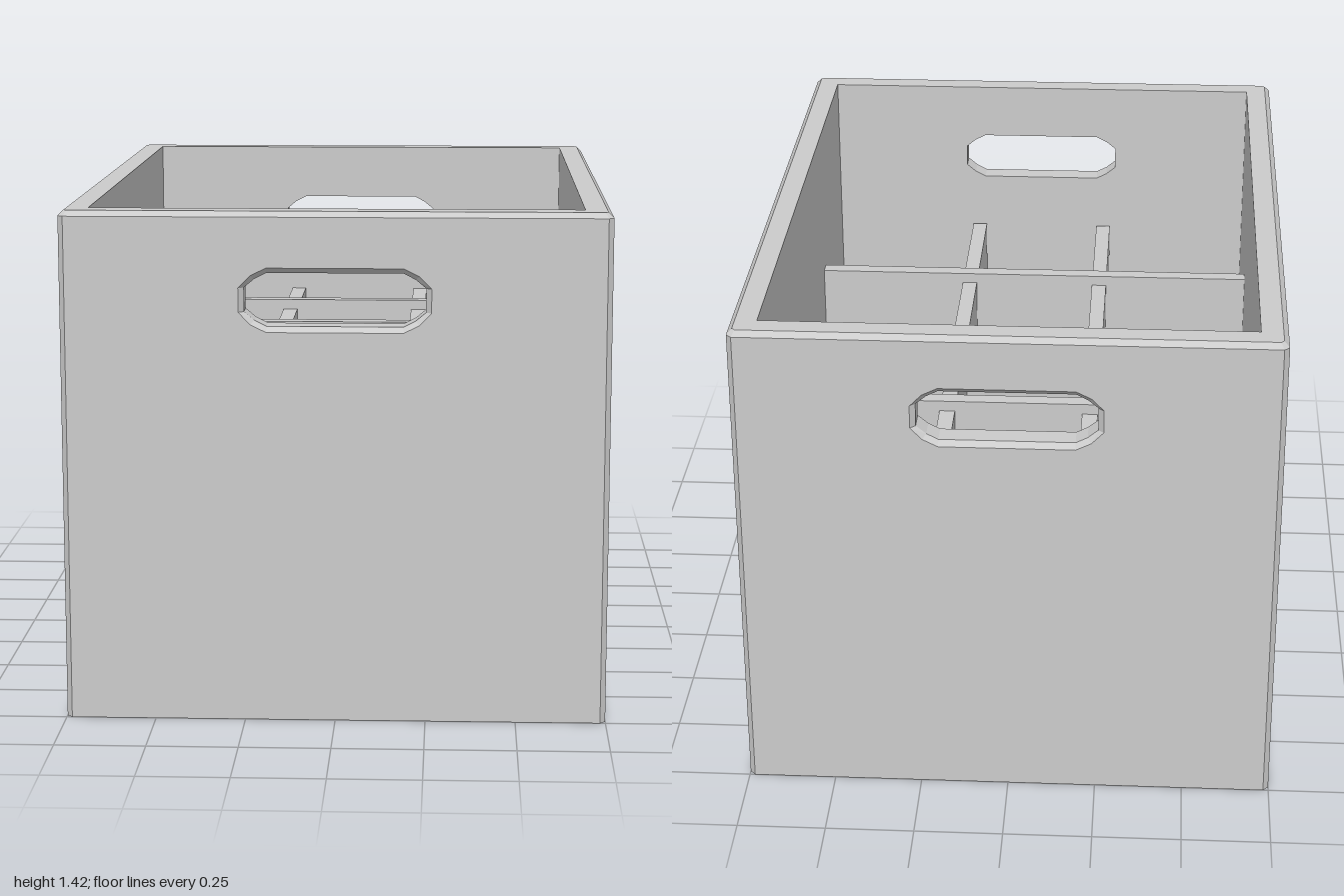
import * as THREE from 'three';

const material = new THREE.MeshStandardMaterial({ color: 0xcccccc });

const HX = 0.75, HZ = 1, H = 1.42;      // outer half width, half depth, height
const IX = 0.675, IZ = 0.922, FLOOR = 0.08; // cavity half width, half depth, floor top
const BEVEL = 0.015;

function mesh(name, geometry) {
  const m = new THREE.Mesh(geometry, material);
  m.name = name;
  return m;
}

// Flat-faced strip joining closed loops of equal length; skipped edges stay open
function loft(loops, skip = () => false) {
  const pos = [];
  const tri = (a, b, c) => {
    if (new THREE.Triangle(a, b, c).getArea() > 1e-8) pos.push(...a, ...b, ...c);
  };
  for (let l = 0; l < loops.length - 1; l++) {
    const a = loops[l], b = loops[l + 1], n = a.length;
    for (let i = 0; i < n; i++) {
      if (skip(l, i)) continue;
      const j = (i + 1) % n;
      tri(a[i], a[j], b[j]);
      tri(a[i], b[j], b[i]);
    }
  }
  const g = new THREE.BufferGeometry();
  g.setAttribute('position', new THREE.Float32BufferAttribute(pos, 3));
  g.computeVertexNormals();
  return g;
}

// Horizontal rectangle with cut corners
function footprint(x, z, c, y) {
  return [[x, z - c], [x, -z + c], [x - c, -z], [-x + c, -z],
    [-x, -z + c], [-x, z - c], [-x + c, z], [x - c, z]]
    .map(([px, pz]) => new THREE.Vector3(px, y, pz));
}

// Handle outline, counter-clockwise seen from the front
function handleOutline(inset) {
  const corner = [[0.262 - inset, 0.033], [0.229 - inset * 0.7, 0.067 - inset * 0.7], [0.186, 0.088 - inset]];
  const flip = (sx, sy) => corner.map(([x, y]) => new THREE.Vector2(sx * x, 1.179 + sy * y));
  return [...flip(1, 1), ...flip(-1, 1).reverse(), ...flip(-1, -1), ...flip(1, -1).reverse()];
}

// Upright panel face pierced by the handle
function piercedFace(halfWidth, y0, y1, inset) {
  const shape = new THREE.Shape([[-halfWidth, y0], [halfWidth, y0], [halfWidth, y1], [-halfWidth, y1]]
    .map(([x, y]) => new THREE.Vector2(x, y)));
  shape.holes.push(new THREE.Path(handleOutline(inset)));
  return new THREE.ShapeGeometry(shape);
}

function endWall(name) {
  const g = new THREE.Group();
  g.name = name;
  const outer = piercedFace(HX - BEVEL, 0, H - BEVEL, 0).translate(0, 0, HZ);
  const inner = piercedFace(IX, FLOOR, H, BEVEL).rotateY(Math.PI).translate(0, 0, IZ);
  // Chamfered grip opening through the wall
  const ring = (inset, z) => handleOutline(inset).map(p => new THREE.Vector3(p.x, p.y, z));
  const grip = loft([ring(0, HZ), ring(BEVEL, HZ - BEVEL), ring(BEVEL, IZ)]);
  g.add(mesh(name + 'Outside', outer), mesh(name + 'Inside', inner), mesh(name + 'HandleHole', grip));
  return g;
}

export function createModel() {
  const model = new THREE.Group();
  model.name = 'dividedCrate';

  // Underside, side walls, bevelled rim, cavity and floor
  const isWall = l => l === 1 || l === 4;
  model.add(mesh('crateShell', loft([
    footprint(0, 0, 0, 0),
    footprint(HX, HZ, BEVEL, 0),
    footprint(HX, HZ, BEVEL, H - BEVEL),
    footprint(HX - BEVEL, HZ - BEVEL, 0.009, H),
    footprint(IX, IZ, 0, H),
    footprint(IX, IZ, 0, FLOOR),
    footprint(0, 0, 0, FLOOR),
  ], (l, i) => isWall(l) && (i === 2 || i === 6))));

  // Front and back walls with handles
  const back = endWall('backWall');
  back.rotation.y = Math.PI;
  model.add(endWall('frontWall'), back);

  // Dividers standing on the floor
  const T = 0.045;
  const divider = (name, x, z, w, d, top) => {
    const m = mesh(name, new THREE.BoxGeometry(w, top - FLOOR, d));
    m.position.set(x, (top + FLOOR) / 2, z);
    model.add(m);
  };
  const crossZ = [-0.46, -0.003, 0.45];
  for (const z of crossZ) divider('crossDivider', 0, z, IX * 2, T, 0.967);

  // Lower lengthwise dividers, one piece per bay
  const stops = [-0.918 - T / 2, ...crossZ, 0.914 + T / 2];
  for (const x of [-0.21, 0.205]) {
    for (let i = 0; i < 4; i++) {
      const z0 = stops[i] + T / 2, z1 = stops[i + 1] - T / 2;
      divider('lengthwiseDivider', x, (z0 + z1) / 2, T, z1 - z0, 0.936);
    }
  }
  return model;
}
